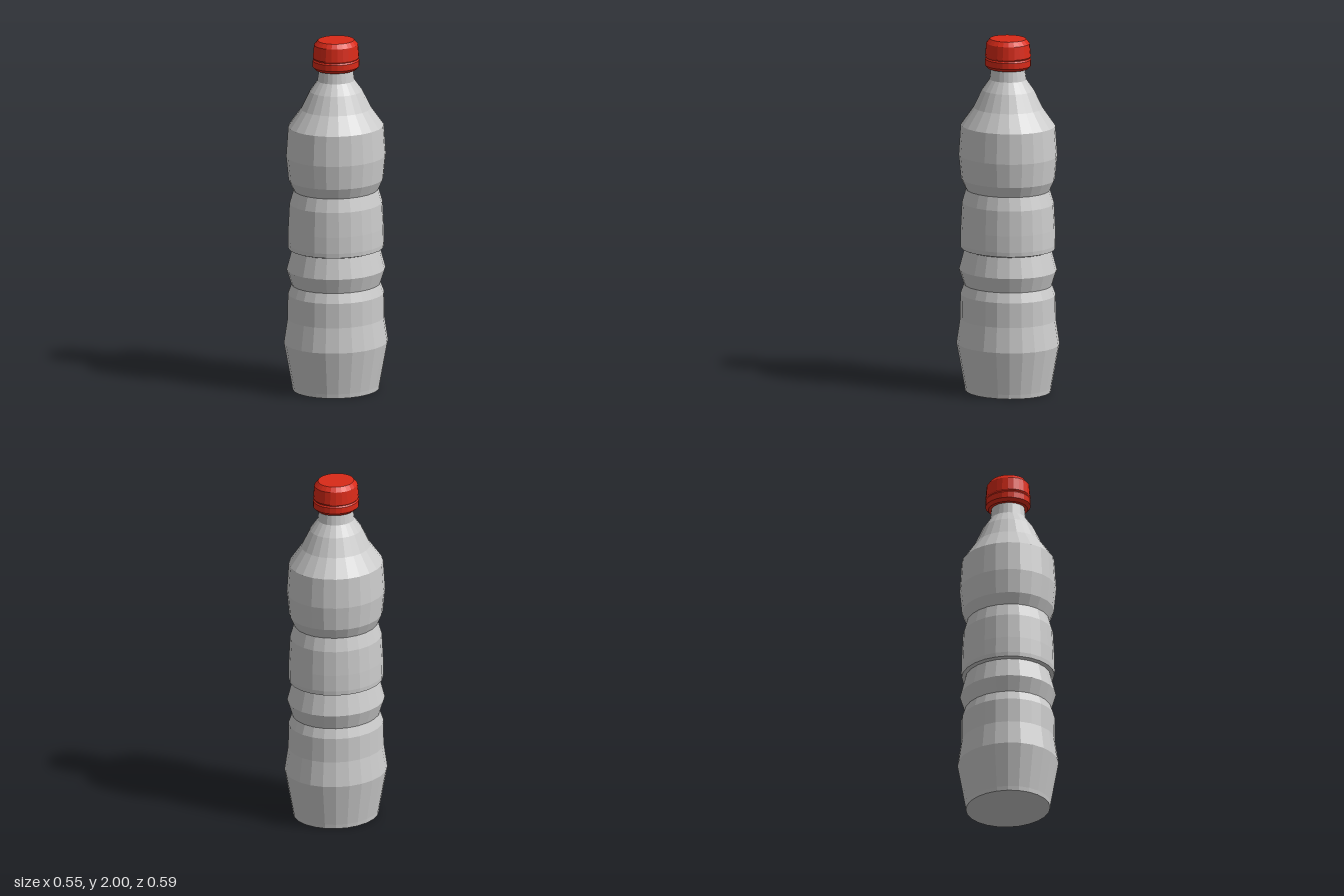
import * as THREE from 'three';

const SIDES = 24;
const DEPTH = 1.072; // the bottle is slightly deeper than wide

// Revolve [radius, height] pairs, listed bottom to top, into a faceted oval part
function turned(name, color, profile) {
  const points = profile.map(([r, y]) => new THREE.Vector2(r, y));
  const geometry = new THREE.LatheGeometry(points, SIDES);
  geometry.scale(1, 1, DEPTH);
  const mesh = new THREE.Mesh(geometry, new THREE.MeshStandardMaterial({ color, flatShading: true }));
  mesh.name = name;
  return mesh;
}

export function createModel() {
  const group = new THREE.Group();
  group.name = 'bottle';

  // Body with grip grooves, shoulder and neck
  group.add(turned('body', 0xcccccc, [
    [0, 0], [0.231, 0], [0.234, 0.025],
    [0.277, 0.27], [0.257, 0.41], [0.256, 0.55],
    [0.237, 0.605], [0.263, 0.69], [0.234, 0.805],
    [0.254, 0.812], [0.256, 0.837], [0.254, 0.93], [0.247, 1.07],
    [0.226, 1.145], [0.252, 1.205], [0.265, 1.34], [0.254, 1.51],
    [0.186, 1.61], [0.14, 1.71], [0.099, 1.77],
    [0.091, 1.83], [0.091, 1.86], [0, 1.86],
  ]));

  // Screw cap with a tamper ring below a shallow groove
  group.add(turned('cap', 0xd92a18, [
    [0, 1.833], [0.108, 1.833], [0.124, 1.85], [0.124, 1.885],
    [0.118, 1.893], [0.123, 1.902], [0.117, 1.975],
    [0.097, 2], [0, 2],
  ]));

  return group;
}
